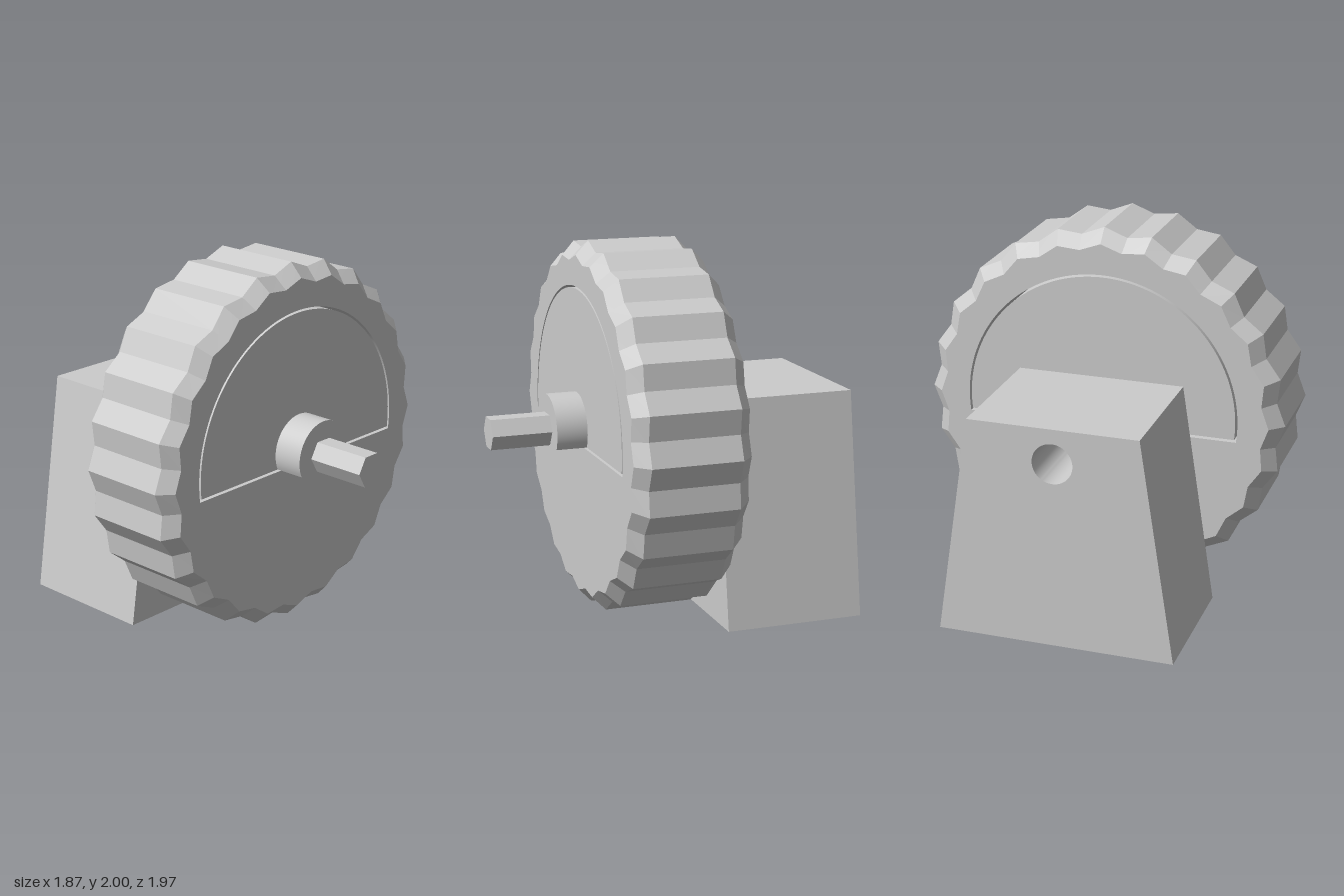
import * as THREE from 'three';
import { toCreasedNormals } from 'three/addons/utils/BufferGeometryUtils.js';

const AXIS_Y = 1.015;      // height of the wheel axis
const X0 = -0.175, X1 = 0.445; // wheel faces
const V = (x, y) => new THREE.Vector2(x, y);

// Scalloped outline with 24 tips
function scallop(tip, valley) {
  return Array.from({ length: 48 }, (_, i) => {
    const a = (i / 48) * Math.PI * 2, r = i % 2 ? valley : tip;
    return V(r * Math.cos(a), r * Math.sin(a));
  });
}

// Circle cut off by a flat below the axis
function cutCircle(r, cut, n = 64) {
  const a = Math.asin(cut / r);
  return Array.from({ length: n + 1 }, (_, i) => {
    const t = -a + (Math.PI + 2 * a) * (i / n);
    return V(r * Math.cos(t), r * Math.sin(t));
  });
}

// Outline (u = -z, v = y) pushed along x from x0 to x1
function prism(points, x0, x1, hole) {
  const shape = new THREE.Shape(points);
  if (hole) shape.holes.push(hole);
  const g = new THREE.ExtrudeGeometry(shape, { depth: x1 - x0, bevelEnabled: false, curveSegments: 32 });
  return toCreasedNormals(g.translate(0, 0, x0).rotateY(Math.PI / 2), 0.4);
}

// Skin joining matching outlines at successive x positions
function loft(sections, inward = false) {
  const pos = [];
  for (let s = 0; s < sections.length - 1; s++) {
    const [A, B] = [sections[s], sections[s + 1]];
    const n = A.points.length;
    for (let i = 0; i < n; i++) {
      const j = (i + 1) % n;
      const p = (S, k) => [S.x, S.points[k].y, -S.points[k].x];
      const [a, b, c, d] = [p(A, i), p(A, j), p(B, j), p(B, i)];
      pos.push(...(inward ? [a, c, b, a, d, c] : [a, b, c, a, c, d]).flat());
    }
  }
  const g = new THREE.BufferGeometry();
  g.setAttribute('position', new THREE.Float32BufferAttribute(pos, 3));
  return toCreasedNormals(g, 0.2);
}

export function createModel() {
  const model = new THREE.Group();
  model.name = 'wheelOnStand';
  const grey = new THREE.MeshStandardMaterial({ color: 0xcccccc });
  grey.name = 'light grey';

  const add = (name, geometry, parent = model) => {
    const mesh = new THREE.Mesh(geometry, grey);
    mesh.name = name;
    parent.add(mesh);
    return mesh;
  };

  // Wheel with chamfered scalloped rim and a D-shaped opening
  const wheel = new THREE.Group();
  wheel.name = 'wheel';
  wheel.position.y = AXIS_Y;
  model.add(wheel);
  const outer = scallop(0.985, 0.945), inner = scallop(0.912, 0.878);
  const opening = cutCircle(0.747, 0.093);
  add('rim', loft([
    { x: X0, points: inner }, { x: X0 + 0.07, points: outer },
    { x: X1 - 0.07, points: outer }, { x: X1, points: inner },
  ]), wheel);
  add('openingWall', loft([{ x: X0, points: opening }, { x: X1, points: opening }], true), wheel);
  const face = new THREE.Shape(inner);
  face.holes.push(new THREE.Path(opening));
  for (const side of [1, -1]) {
    const g = new THREE.ShapeGeometry(face).rotateY(side * Math.PI / 2);
    add(side > 0 ? 'outerFace' : 'innerFace', g.translate(side > 0 ? X1 : X0, 0, 0), wheel);
  }

  // Fixed axle: half-round core, hub and hexagonal shaft
  const axle = new THREE.Group();
  axle.name = 'axle';
  axle.position.y = AXIS_Y;
  model.add(axle);
  add('core', prism(cutCircle(0.735, 0.079), X0, X1), axle);
  add('hub', prism(cutCircle(0.184, 0.079, 40), X1, 0.61), axle);
  const hex = Array.from({ length: 6 }, (_, i) =>
    V(0.093 * Math.cos(i * Math.PI / 3), 0.093 * Math.sin(i * Math.PI / 3)));
  add('hexShaft', prism(hex, 0.61, 0.93), axle);

  // Tapered stand with a round socket on the axis
  const socket = new THREE.Path();
  socket.absarc(0, AXIS_Y, 0.107, 0, Math.PI * 2, true);
  add('stand', prism([V(-0.635, 0), V(0.635, 0), V(0.452, 1.2), V(-0.452, 1.2)], -0.935, X0, socket));

  return model;
}
